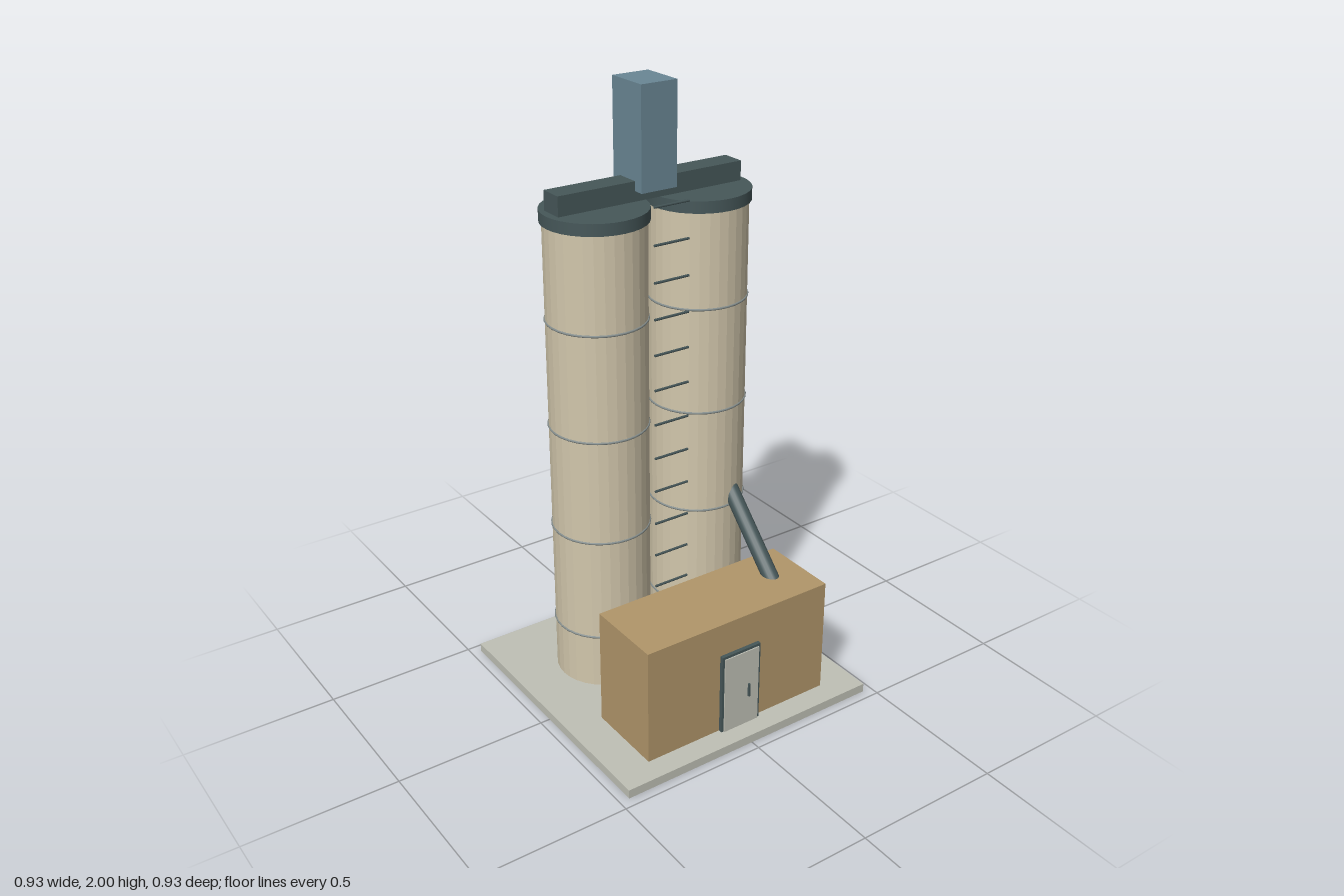
import * as THREE from 'three';

const mat = (name, color, flatShading = false) => {
  const m = new THREE.MeshStandardMaterial({ color, flatShading });
  m.name = name;
  return m;
};

export function createModel() {
  const group = new THREE.Group();
  const concrete = mat('concrete', 0xbfc0b5);
  const cream = mat('cream silo wall', 0xd2c7ac, true);
  const slate = mat('dark slate', 0x465759);
  const steel = mat('steel bands', 0x87908f);
  const blue = mat('blue tower', 0x6a8795);
  const tan = mat('tan shed', 0xb1966a);

  const add = (name, geometry, material, x, y, z) => {
    const mesh = new THREE.Mesh(geometry, material);
    mesh.name = name;
    mesh.position.set(x, y, z);
    group.add(mesh);
    return mesh;
  };
  // Box given by its minimum and maximum corners
  const box = (name, material, x0, x1, y0, y1, z0, z1) =>
    add(name, new THREE.BoxGeometry(x1 - x0, y1 - y0, z1 - z0), material,
      (x0 + x1) / 2, (y0 + y1) / 2, (z0 + z1) / 2);

  box('baseSlab', concrete, -0.467, 0.467, 0, 0.03, -0.467, 0.467);

  // Twin silos with bands and lids
  const siloZ = -0.107;
  for (const side of [-1, 1]) {
    const x = side * 0.187;
    const label = side < 0 ? 'right' : 'left';
    add(label + 'Silo', new THREE.CylinderGeometry(0.157, 0.157, 1.54, 32), cream, x, 0.84, siloZ);
    add(label + 'SiloLid', new THREE.CylinderGeometry(0.165, 0.165, 0.038, 32), slate, x, 1.629, siloZ);
    for (const y of [0.255, 0.603, 0.953, 1.302]) {
      const band = add(label + 'SiloBand', new THREE.TorusGeometry(0.157, 0.004, 6, 32), steel, x, y, siloZ);
      band.rotation.x = Math.PI / 2;
    }
  }

  // Conveyor housing and elevator tower on the roof
  box('conveyorHousing', slate, -0.327, 0.327, 1.648, 1.71, -0.156, -0.078);
  box('elevatorTower', blue, -0.063, 0.063, 1.68, 2, -0.193, -0.043);

  // Ladder rungs between the silos
  for (let i = 0; i < 14; i++) {
    const rung = add('ladderRung', new THREE.CylinderGeometry(0.004, 0.004, 0.125, 6), slate,
      0, 0.137 + i * 0.1168, 0.02);
    rung.rotation.z = Math.PI / 2;
  }

  // Shed and door
  box('shed', tan, -0.344, 0.344, 0.03, 0.425, 0.122, 0.39);
  box('doorFrame', slate, -0.074, 0.074, 0.03, 0.312, 0.385, 0.403);
  box('doorPanel', concrete, -0.066, 0.066, 0.03, 0.303, 0.4, 0.407);
  box('doorHandle', slate, 0.024, 0.03, 0.133, 0.18, 0.406, 0.414);

  // Sloping spout from the left silo to the shed
  const top = new THREE.Vector3(0.233, 0.67, 0);
  const bottom = new THREE.Vector3(0.233, 0.38, 0.285);
  const mid = top.clone().add(bottom).multiplyScalar(0.5);
  const spout = add('spout', new THREE.CylinderGeometry(0.027, 0.027, top.distanceTo(bottom), 16),
    slate, mid.x, mid.y, mid.z);
  spout.quaternion.setFromUnitVectors(new THREE.Vector3(0, 1, 0), top.clone().sub(bottom).normalize());

  return group;
}
